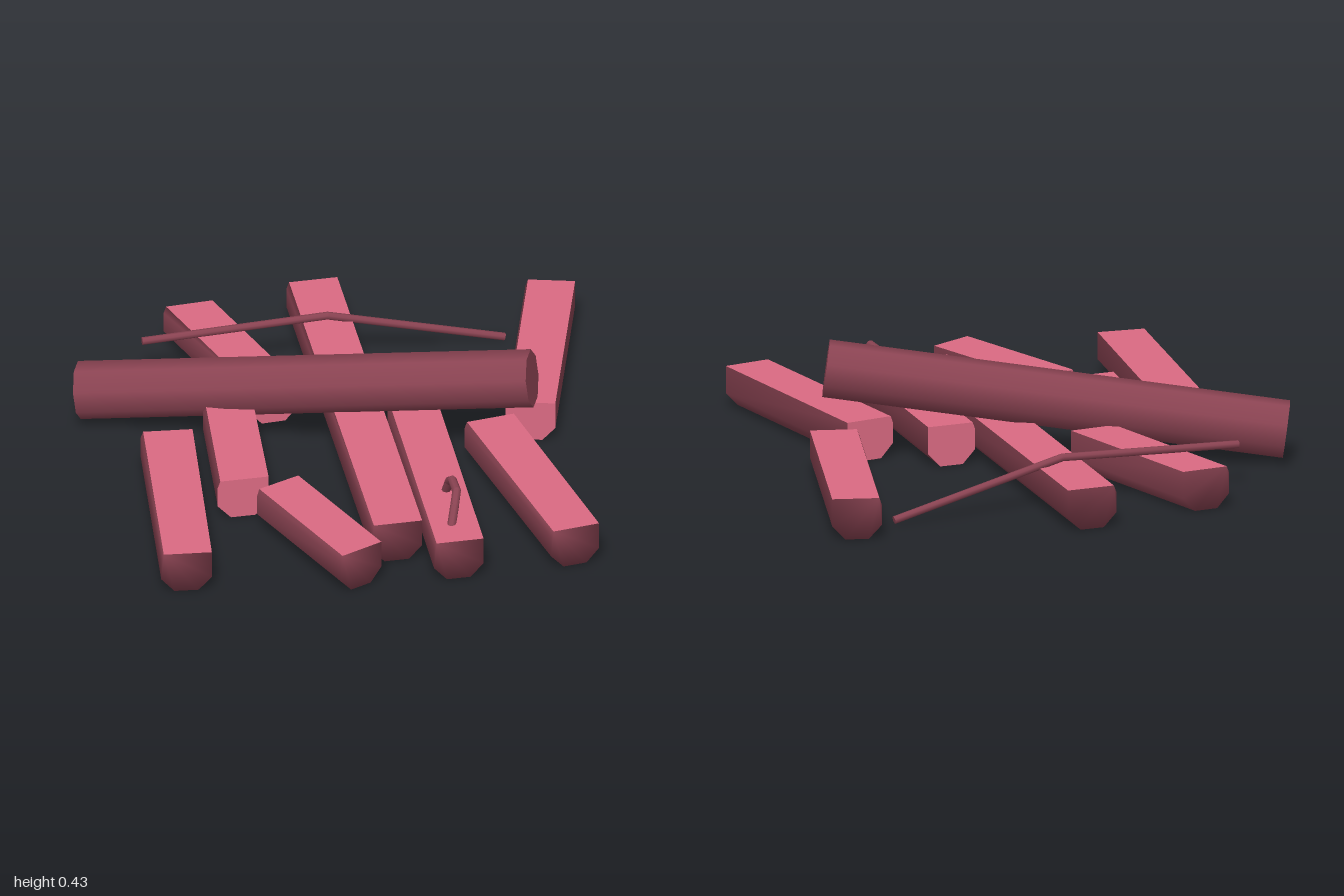
import * as THREE from 'three';

const bark = new THREE.MeshStandardMaterial({ color: 0x8a4352 });
const cutWood = new THREE.MeshStandardMaterial({ color: 0xda6a82 });

// Log cross-section: u runs across the width, y is height; the open top is the sawn face
const profile = [[0.05, 0.15], [0, 0.125], [0, 0.05], [0.26, 0], [0.74, 0], [1, 0.05], [1, 0.15]];
const n = profile.length;

// Corners (x, z): back left, back right, front left, front right; then which ends are sawn
const logs = [
  { name: 'longCentreLog', c: [-0.05, -1, 0.135, -1, -0.135, 0.795, 0.05, 0.795] },
  { name: 'backRightLog', c: [-0.515, -0.92, -0.335, -0.93, -0.345, -0.275, -0.165, -0.285], cutFront: true },
  { name: 'middleRightLog', c: [-0.53, -0.2, -0.35, -0.2, -0.6, 0.365, -0.415, 0.365], cutFront: true, cutBack: true },
  { name: 'outerRightLog', c: [-0.79, 0.05 - 0.1, -0.605, -0.03, -0.91, 0.84, -0.73, 0.86], cutBack: true },
  { name: 'shortFrontLog', c: [-0.475, 0.45, -0.31, 0.38, -0.29, 0.99, -0.125, 0.915], cutBack: true },
  { name: 'handleLog', c: [0.11, -0.055, 0.29, -0.055, 0.055, 0.97, 0.235, 0.97], cutBack: true },
  { name: 'frontLeftLog', c: [0.35, 0.13, 0.535, 0.105, 0.48, 0.975, 0.66, 0.95], cutBack: true },
  { name: 'backLeftLog', c: [0.785, -0.84, 0.955, -0.79, 0.525, 0.015, 0.695, 0.065], cutFront: true },
];

function surface(points, index, material, name, flat) {
  let geo = new THREE.BufferGeometry();
  geo.setAttribute('position', new THREE.Float32BufferAttribute(points, 3));
  geo.setIndex(index);
  if (flat) geo = geo.toNonIndexed();
  geo.computeVertexNormals();
  const mesh = new THREE.Mesh(geo, material);
  mesh.name = name;
  return mesh;
}

// Half-round log lofted between its two end sections
function makeLog({ name, c, cutFront, cutBack }) {
  const points = [];
  for (const o of [0, 4]) {
    for (const [u, y] of profile) {
      points.push(c[o] + (c[o + 2] - c[o]) * u, y, c[o + 1] + (c[o + 3] - c[o + 1]) * u);
    }
  }
  const shell = [];
  const cut = [n, 2 * n - 1, n - 1, n, n - 1, 0]; // sawn top
  for (let i = 0; i < n - 1; i++) {
    shell.push(i, i + 1, n + i, i + 1, n + i + 1, n + i);
    if (i > 0) {
      (cutBack ? cut : shell).push(0, i + 1, i);
      (cutFront ? cut : shell).push(n, n + i, n + i + 1);
    }
  }
  const log = new THREE.Group();
  log.name = name;
  log.add(surface(points, shell, bark, name + 'Bark', false));
  log.add(surface(points, cut, cutWood, name + 'Cut', true));
  return log;
}

// Octagonal rod between two points
function rod(a, b, radius, name) {
  const dir = b.clone().sub(a);
  const geo = new THREE.CylinderGeometry(radius, radius, dir.length(), 8);
  geo.rotateY(Math.PI / 8);
  geo.rotateX(Math.PI / 2);
  const mesh = new THREE.Mesh(geo, bark);
  mesh.position.copy(a).add(b).multiplyScalar(0.5);
  mesh.lookAt(b);
  mesh.name = name;
  return mesh;
}

// Chain of rods with ball joints along a bent path
function bentStick(path, radius, name) {
  const group = new THREE.Group();
  group.name = name;
  const pts = path.map((p) => new THREE.Vector3(...p));
  for (let i = 0; i < pts.length - 1; i++) {
    group.add(rod(pts[i], pts[i + 1], radius, name + 'Segment'));
    if (i > 0) {
      const joint = new THREE.Mesh(new THREE.SphereGeometry(radius, 8, 6), bark);
      joint.position.copy(pts[i]);
      joint.name = name + 'Joint';
      group.add(joint);
    }
  }
  return group;
}

export function createModel() {
  const model = new THREE.Group();
  model.name = 'logPile';
  for (const log of logs) model.add(makeLog(log));

  // Round log leaning across the pile
  model.add(rod(new THREE.Vector3(-0.925, 0.118, -0.45), new THREE.Vector3(0.583, 0.335, 0.19), 0.104, 'leaningLog'));

  // Thin stick bent over the centre log
  model.add(bentStick([[-0.645, 0.155, -0.685], [0.03, 0.178, -0.685], [0.675, 0.015, -0.685]], 0.014, 'bentStick'));

  // Small arched handle
  model.add(bentStick([
    [0.145, 0.14, 0.845], [0.167, 0.2, 0.8], [0.185, 0.23, 0.75],
    [0.187, 0.23, 0.67], [0.185, 0.205, 0.63], [0.18, 0.14, 0.59],
  ], 0.016, 'handle'));

  return model;
}
